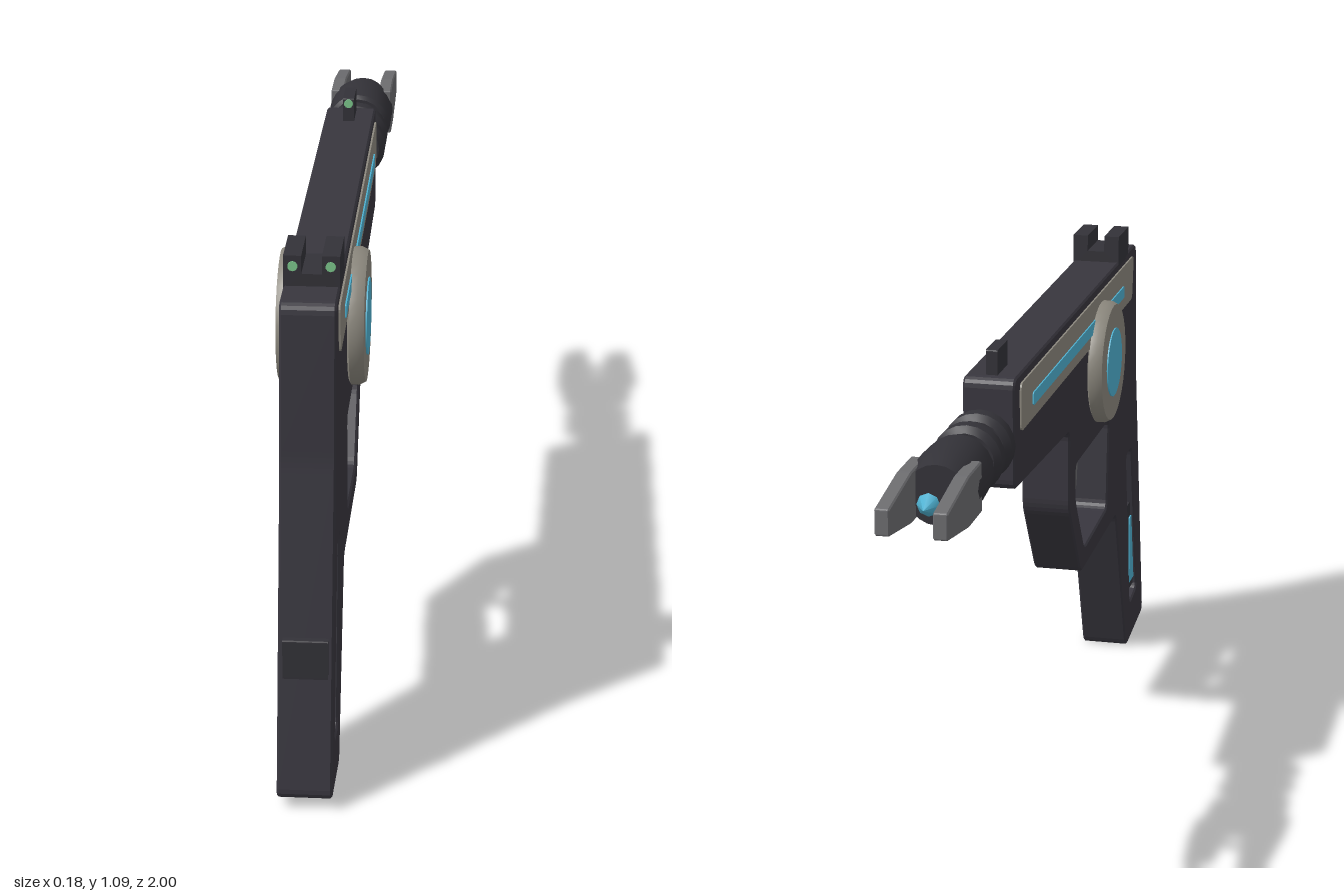
import * as THREE from 'three';
import { toCreasedNormals } from 'three/addons/utils/BufferGeometryUtils.js';

const mat = (name, color) => {
  const m = new THREE.MeshStandardMaterial({ color });
  m.name = name;
  return m;
};

export function createModel() {
  const group = new THREE.Group();
  const frame = mat('charcoal frame', 0x38363e);
  const dark = mat('dark fittings', 0x333238);
  const panel = mat('warm grey panel', 0x8c887e);
  const metal = mat('gunmetal', 0x6c6c6f);
  const glow = mat('cyan glow', 0x4fb2d2);
  const green = mat('green sight dot', 0x7cc78c);

  const add = (name, geo, material, x = 0, y = 0, z = 0) => {
    const mesh = new THREE.Mesh(geo, material);
    mesh.name = name;
    mesh.position.set(x, y, z);
    group.add(mesh);
    return mesh;
  };

  // Closed outline whose corners are rounded by radius r
  const trace = (path, pts, r) => {
    const v = pts.map(p => new THREE.Vector2(...p));
    v.forEach((p, i) => {
      const toward = q => {
        const d = q.clone().sub(p);
        return p.clone().add(d.setLength(Math.min(r, d.length() * 0.45)));
      };
      const a = toward(v[(i + v.length - 1) % v.length]);
      const b = toward(v[(i + 1) % v.length]);
      if (i) path.lineTo(a.x, a.y); else path.moveTo(a.x, a.y);
      path.quadraticCurveTo(p.x, p.y, b.x, b.y);
    });
    path.closePath();
    return path;
  };

  // Side profile of [z, y] points, extruded across x and centred
  const slab = (pts, width, { r = 0.004, bevel = 0, holes = [] } = {}) => {
    const shape = trace(new THREE.Shape(), pts, r);
    holes.forEach(h => shape.holes.push(trace(new THREE.Path(), h, 0.02)));
    const depth = width - 2 * bevel;
    return new THREE.ExtrudeGeometry(shape, {
      depth, curveSegments: 4, bevelEnabled: bevel > 0, bevelSize: bevel,
      bevelThickness: bevel, bevelOffset: -bevel, bevelSegments: 1
    }).translate(0, 0, -depth / 2).rotateY(-Math.PI / 2);
  };

  // Turned part; profile of [radius, distance] points
  const turned = (pts, segments = 20) => toCreasedNormals(
    new THREE.LatheGeometry(pts.map(p => new THREE.Vector2(...p)), segments), 0.5);

  // Frame with trigger opening and grip slot
  add('frame', slab([
    [0.862, 1.03], [-0.4, 1.03], [-0.4, 0.792], [0.125, 0.765], [0.125, 0.58],
    [0.25, 0.387], [0.65, 0.4], [0.79, 0.003], [1.0, 0.03], [0.882, 0.71]
  ], 0.11, {
    r: 0.022, bevel: 0.004,
    holes: [
      [[0.557, 0.667], [0.19, 0.667], [0.19, 0.585], [0.288, 0.437], [0.54, 0.452]],
      [[0.838, 0.515], [0.768, 0.515], [0.833, 0.105], [0.918, 0.12]]
    ]
  }), frame);

  // Trigger
  add('trigger', slab([
    [0.395, 0.69], [0.345, 0.69], [0.342, 0.575], [0.293, 0.507], [0.312, 0.493], [0.368, 0.565]
  ], 0.035), metal);

  // Power cell in the grip
  add('powerCell', slab([[0.957, 0.362], [0.78, 0.362], [0.825, 0.13], [0.95, 0.13], [0.957, 0.28]], 0.09), dark);
  add('cellFoot', slab([[0.92, 0.13], [0.82, 0.13], [0.825, 0.112], [0.92, 0.118]], 0.07), panel);

  for (const s of [1, -1]) {
    // Cell window
    add('cellWindow', slab([[0.882, 0.325], [0.857, 0.325], [0.857, 0.15], [0.916, 0.15]], 0.004), glow, s * 0.046);
    // Side panel and light strip
    add('sidePanel', slab([[0.815, 1.01], [-0.355, 1.01], [-0.355, 0.907], [0.8, 0.907]], 0.008, { r: 0.015 }), panel, s * 0.055);
    add('lightStrip', slab([[0.69, 0.964], [-0.255, 0.964], [-0.255, 0.936], [0.69, 0.936]], 0.004), glow, s * 0.06);
    // Round side dial
    const dial = add('dial', turned([
      [0, 0], [0.13, 0], [0.142, 0.006], [0.142, 0.022], [0.135, 0.036], [0, 0.036]
    ], 32), panel, s * 0.053, 0.845, 0.44);
    dial.rotation.z = -s * Math.PI / 2;
    const lens = add('dialLens', new THREE.CylinderGeometry(0.08, 0.08, 0.004, 28), glow, s * 0.09, 0.845, 0.44);
    lens.rotation.z = -s * Math.PI / 2;
  }

  // Barrel pieces, all on one axis running toward -z
  const axisY = 0.91;
  const barrelPart = (name, pts, material) => {
    add(name, turned(pts).rotateX(-Math.PI / 2), material, 0, axisY, 0);
  };
  barrelPart('barrelCore', [[0, 0.38], [0.047, 0.38], [0.047, 0.66], [0, 0.66]], metal);
  for (const d of [0.45, 0.535]) {
    barrelPart('barrelRing', [
      [0.045, d], [0.06, d], [0.073, d + 0.015], [0.073, d + 0.045], [0.06, d + 0.06], [0.045, d + 0.06]
    ], dark);
  }
  barrelPart('muzzle', [
    [0, 0.63], [0.064, 0.63], [0.072, 0.64], [0.075, 0.69], [0.075, 0.76], [0.062, 0.815], [0, 0.815]
  ], dark);

  // Forked prongs and the emitter between them
  for (const s of [1, -1]) {
    add('prong', slab([
      [-0.74, 0.962], [-0.84, 0.962], [-1, 0.937], [-1, 0.883], [-0.84, 0.858], [-0.74, 0.858]
    ], 0.03, { bevel: 0.003 }), metal, s * 0.057, 0, 0);
  }
  add('emitter', new THREE.ConeGeometry(0.024, 0.04, 8).rotateX(-Math.PI / 2), glow, 0, axisY, -0.895);

  // Notched rear sight
  const notch = new THREE.Shape([
    [-0.055, 1.02], [0.055, 1.02], [0.055, 1.092], [0.02, 1.092], [0.02, 1.055],
    [-0.02, 1.055], [-0.02, 1.092], [-0.055, 1.092]
  ].map(p => new THREE.Vector2(...p)));
  add('rearSight', new THREE.ExtrudeGeometry(notch, { depth: 0.115, bevelEnabled: false }), dark, 0, 0, 0.65);

  // Front sight blade
  add('frontSight', slab([[-0.285, 1.02], [-0.285, 1.083], [-0.372, 1.083], [-0.372, 1.02]], 0.025), dark);

  // Sight dots facing the shooter
  const dot = (x, z) => add('sightDot',
    new THREE.CylinderGeometry(0.01, 0.01, 0.004, 10).rotateX(Math.PI / 2), green, x, 1.071, z);
  dot(0.037, 0.766);
  dot(-0.037, 0.766);
  dot(0, -0.284);

  return group;
}
